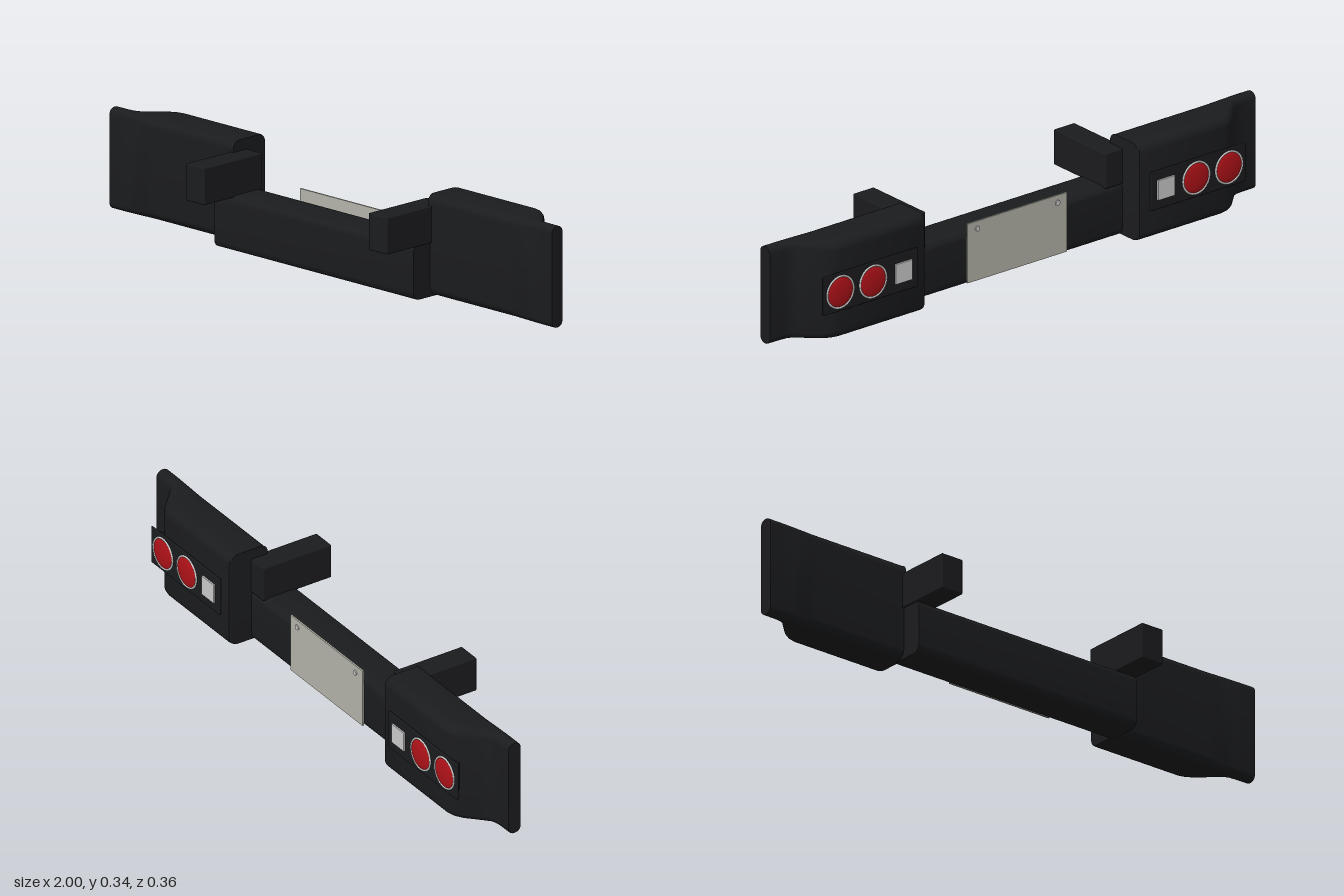
import * as THREE from 'three';
import { toCreasedNormals } from 'three/addons/utils/BufferGeometryUtils.js';
import { RoundedBoxGeometry } from 'three/addons/geometries/RoundedBoxGeometry.js';

const mat = (color) => new THREE.MeshStandardMaterial({ color });
const black = mat(0x1b1c1e);
const red = mat(0xb01218);
const silver = mat(0xcccccc);
const plateGrey = mat(0xb4b4aa);

function add(parent, name, geometry, material, x = 0, y = 0, z = 0) {
  const mesh = new THREE.Mesh(geometry, material);
  mesh.name = name;
  mesh.position.set(x, y, z);
  parent.add(mesh);
  return mesh;
}

// Rounded rectangle in the z-y plane, counterclockwise seen from +x
function section(x, back, front, bottom, top, r, steps = 6) {
  const corners = [[back + r, top - r], [front - r, top - r], [front - r, bottom + r], [back + r, bottom + r]];
  const points = [];
  corners.forEach(([z, y], c) => {
    for (let i = 0; i <= steps; i++) {
      const a = (c + i / steps) * Math.PI / 2;
      points.push([x, y + r * Math.sin(a), z - r * Math.cos(a)]);
    }
  });
  return points;
}

// Closed skin through sections ordered by growing x
function loft(sections, crease = 0.6) {
  const n = sections[0].length;
  const positions = sections.flat(2);
  const index = [];
  for (let s = 0; s < sections.length - 1; s++) {
    for (let k = 0; k < n; k++) {
      const a = s * n + k, b = s * n + (k + 1) % n;
      index.push(a, b, a + n, b, b + n, a + n);
    }
  }
  const last = (sections.length - 1) * n;
  for (let k = 1; k < n - 1; k++) {
    index.push(0, k + 1, k, last, last + k, last + k + 1);
  }
  const geometry = new THREE.BufferGeometry();
  geometry.setAttribute('position', new THREE.Float32BufferAttribute(positions, 3));
  geometry.setIndex(index);
  return toCreasedNormals(geometry, crease);
}

// Box that widens towards the back
function flaredBox(w, h, d, taper) {
  const geometry = new THREE.BoxGeometry(w, h, d);
  const p = geometry.attributes.position;
  for (let i = 0; i < p.count; i++) {
    if (p.getZ(i) > 0) {
      p.setX(i, p.getX(i) - Math.sign(p.getX(i)) * taper);
      p.setY(i, p.getY(i) - Math.sign(p.getY(i)) * taper * 0.6);
    }
  }
  geometry.computeVertexNormals();
  return geometry;
}

// Deep end piece that sweeps down to a thin outer wing
function endGeometry(side) {
  const profile = [
    [0.44, -0.157, 0.026], [0.443, -0.163, 0.029], [0.45, -0.166, 0.03], [0.79, -0.166, 0.03],
    [0.815, -0.16, 0.03], [0.84, -0.143, 0.028], [0.885, -0.098, 0.025],
    [0.905, -0.079, 0.024], [0.925, -0.07, 0.023], [0.95, -0.067, 0.022], [1, -0.066, 0.022],
  ];
  const sections = profile.map(([x, back, r]) => section(side * x, back, -0.018, 0.002, 0.337, r));
  if (side < 0) sections.reverse();
  return loft(sections);
}

function lightCluster(side) {
  const group = new THREE.Group();
  group.name = 'lightCluster';
  const y = 0.17;
  add(group, 'lightHousing', flaredBox(0.37, 0.12, 0.03, 0.025), black, side * 0.675, y, -0.155);
  add(group, 'lightBezel', new RoundedBoxGeometry(0.39, 0.134, 0.007, 2, 0.003), black, side * 0.675, y, -0.172);
  for (const x of [0.665, 0.8]) {
    const lens = new THREE.SphereGeometry(0.053, 32, 8, 0, Math.PI * 2, 0, Math.PI / 2);
    lens.scale(1, 0.009, 1).scale(1, 1 / 0.053, 1).rotateX(-Math.PI / 2);
    add(group, 'redLens', lens, red, side * x, y, -0.1745);
    add(group, 'lensRing', new THREE.TorusGeometry(0.054, 0.0035, 8, 40), silver, side * x, y, -0.176);
  }
  add(group, 'reverseLight', new RoundedBoxGeometry(0.07, 0.07, 0.008, 2, 0.002), silver, side * 0.54, y, -0.177);
  return group;
}

export function createModel() {
  const model = new THREE.Group();
  model.name = 'bumper';

  // Centre beam
  const beam = [-0.45, 0.45].map((x) => section(x, -0.08, 0.057, 0, 0.184, 0.024));
  add(model, 'centreBeam', loft(beam), black);

  // End pieces, mounting arms and lights
  for (const side of [-1, 1]) {
    add(model, 'endPiece', endGeometry(side), black);
    add(model, 'mountingArm', new RoundedBoxGeometry(0.085, 0.122, 0.262, 2, 0.004), black, side * 0.413, 0.239, 0.05);
    model.add(lightCluster(side));
  }

  // Blank number plate with two bolts
  add(model, 'numberPlate', new THREE.BoxGeometry(0.41, 0.205, 0.006), plateGrey, 0, 0.113, -0.086);
  for (const x of [-0.165, 0.165]) {
    const bolt = new THREE.CylinderGeometry(0.009, 0.009, 0.005, 16).rotateX(Math.PI / 2);
    add(model, 'plateBolt', bolt, silver, x, 0.19, -0.0905);
  }
  return model;
}
